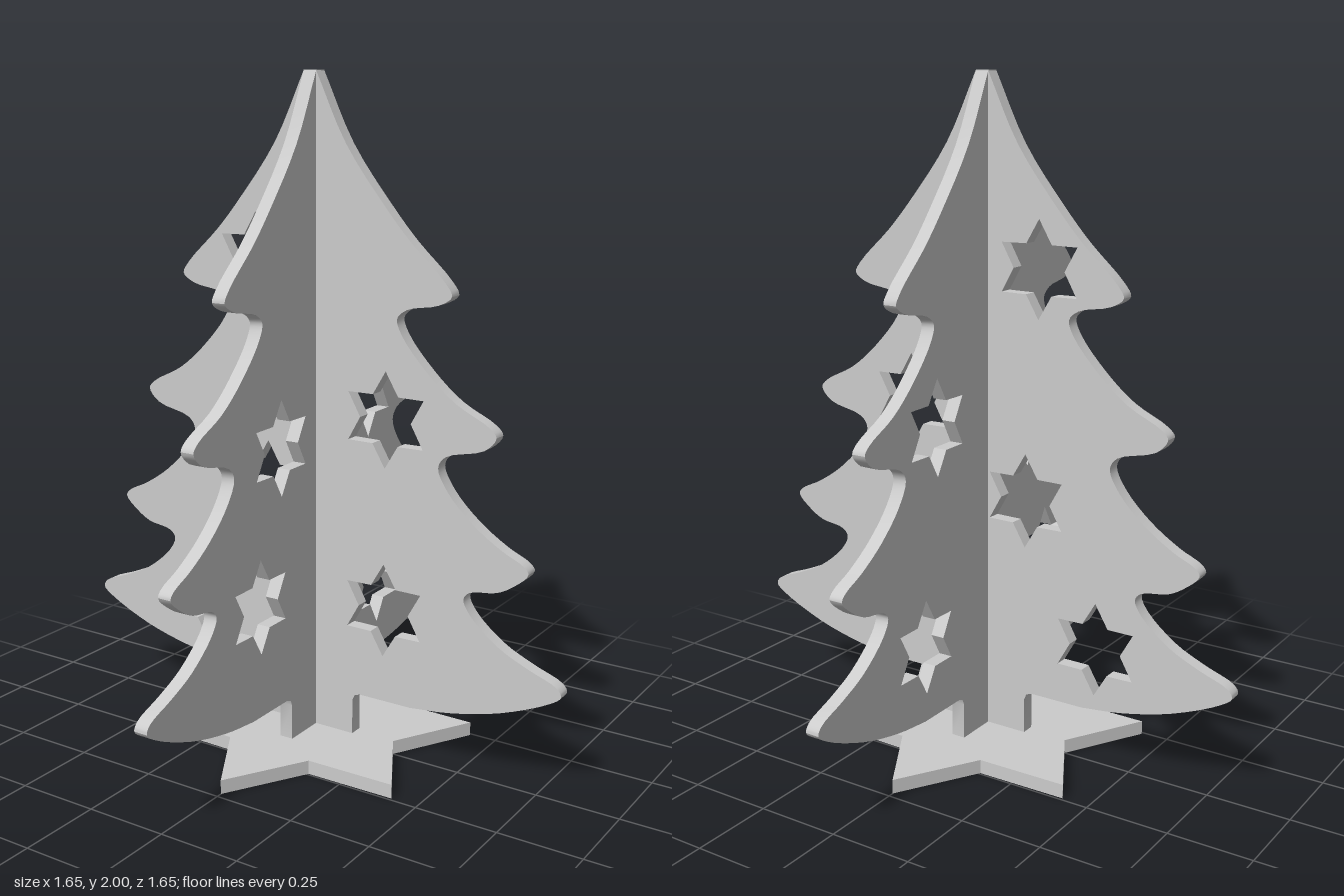
import * as THREE from 'three';
import { toCreasedNormals } from 'three/addons/utils/BufferGeometryUtils.js';

const THICK = 0.042;
const TRUNK = 0.152;
const BASE = 0.042;

// Half outline of the tree, from the tip down to the underside of the lowest bough
const OUTLINE = [
  [0.02, 2], [0.12, 1.8], [0.25, 1.63], [0.33, 1.54], [0.44, 1.435], [0.46, 1.4], [0.42, 1.373],
  [0.32, 1.352], [0.29, 1.325], [0.305, 1.28], [0.39, 1.18], [0.48, 1.105], [0.585, 1.05],
  [0.605, 1.025], [0.57, 0.985], [0.45, 0.95], [0.428, 0.915], [0.46, 0.85], [0.54, 0.77],
  [0.63, 0.71], [0.7, 0.675], [0.713, 0.655], [0.67, 0.613], [0.62, 0.585], [0.535, 0.568],
  [0.517, 0.545], [0.54, 0.5], [0.63, 0.425], [0.72, 0.382], [0.81, 0.345], [0.823, 0.322],
  [0.79, 0.295], [0.64, 0.23], [0.48, 0.19], [0.35, 0.174],
];

const material = new THREE.MeshStandardMaterial({ color: 0xcccccc });

// Six-pointed star with one point upwards
function starPoints(cx, cy, outer, inner) {
  return Array.from({ length: 12 }, (_, i) => {
    const r = i % 2 ? inner : outer;
    const a = Math.PI / 2 + (i * Math.PI) / 6;
    return new THREE.Vector2(cx + r * Math.cos(a), cy + r * Math.sin(a));
  });
}

function plate(name, shape, depth) {
  const geometry = new THREE.ExtrudeGeometry(shape, { depth, bevelEnabled: false });
  const mesh = new THREE.Mesh(toCreasedNormals(geometry, 0.5), material);
  mesh.name = name;
  return mesh;
}

// Upright tree-shaped board with star cut-outs
function treePanel(name, stars) {
  const curve = new THREE.CatmullRomCurve3(OUTLINE.map(([x, y]) => new THREE.Vector3(x, y, 0)));
  const half = curve.getPoints((OUTLINE.length - 1) * 4).map((p) => new THREE.Vector2(p.x, p.y));
  // Rounded corner into the trunk
  for (const [x, y] of [[TRUNK + 0.025, 0.174], [TRUNK + 0.007, 0.167], [TRUNK, 0.15], [TRUNK, BASE]]) {
    half.push(new THREE.Vector2(x, y));
  }
  const mirrored = half.map((p) => new THREE.Vector2(-p.x, p.y)).reverse();
  const shape = new THREE.Shape([...half, ...mirrored]);
  for (const [x, y] of stars) shape.holes.push(new THREE.Path(starPoints(x, y, 0.142, 0.083)));
  const mesh = plate(name, shape, THICK);
  mesh.geometry.translate(0, 0, -THICK / 2);
  return mesh;
}

export function createModel() {
  const model = new THREE.Group();
  model.name = 'treeDecoration';

  // Two crossing boards
  const widePanel = treePanel('sidePanel', [
    [-0.19, 1.457], [0.255, 1.03], [-0.15, 0.775], [-0.39, 0.365], [0.255, 0.457],
  ]);
  const deepPanel = treePanel('frontBackPanel', [
    [0.2, 0.953], [-0.277, 1.032], [0.307, 0.508], [-0.34, 0.4],
  ]);
  deepPanel.rotation.y = -Math.PI / 2;

  // Star foot with a cross-shaped slot
  const foot = new THREE.Shape(starPoints(0, 0, 0.483, 0.283));
  const L = 0.14, w = 0.016;
  foot.holes.push(new THREE.Path([
    [w, w], [w, L], [-w, L], [-w, w], [-L, w], [-L, -w],
    [-w, -w], [-w, -L], [w, -L], [w, -w], [L, -w], [L, w],
  ].map(([x, y]) => new THREE.Vector2(x, y))));
  const base = plate('starBase', foot, BASE);
  base.rotation.x = -Math.PI / 2;

  model.add(widePanel, deepPanel, base);
  return model;
}
